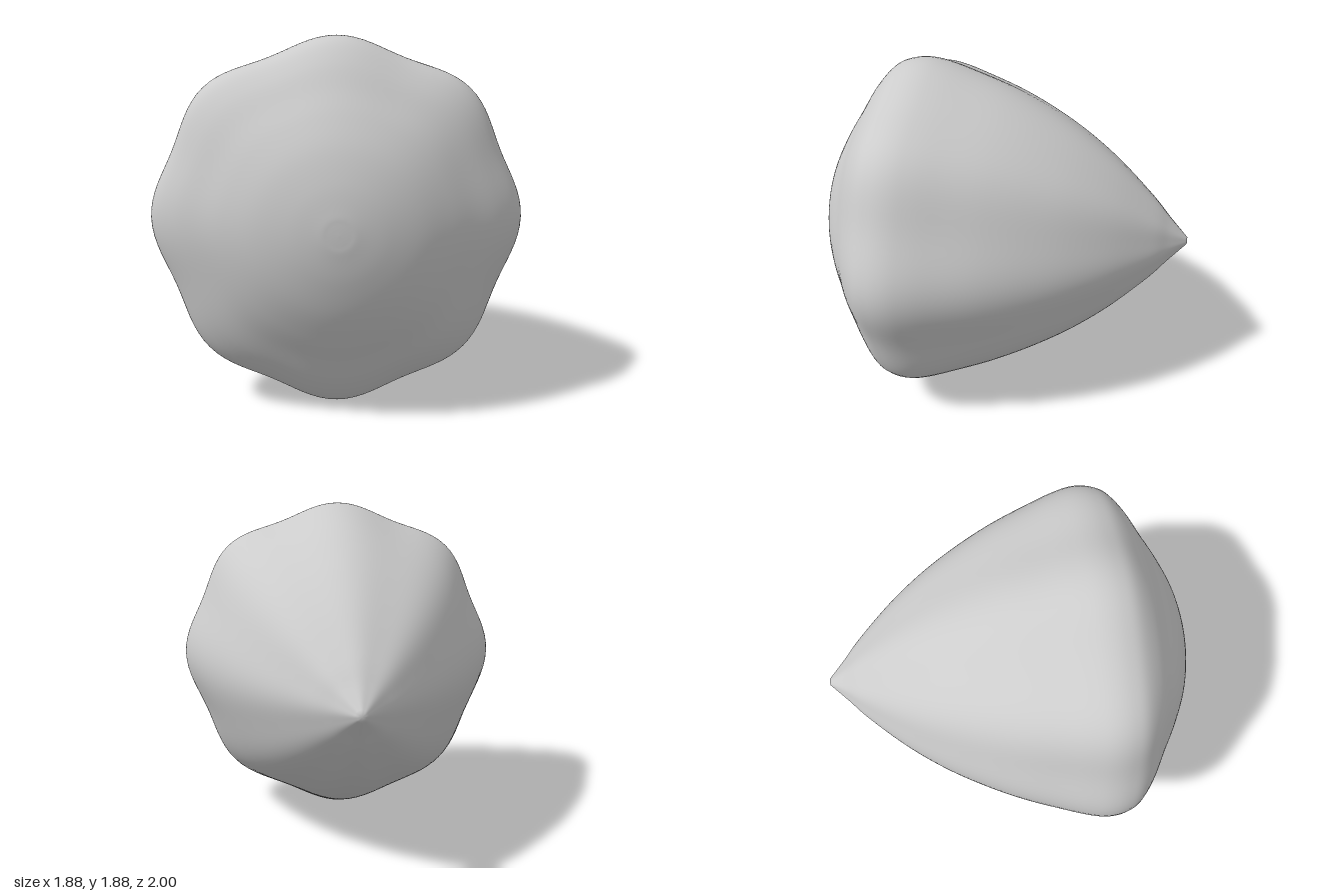
import * as THREE from 'three';
import { mergeVertices } from 'three/addons/utils/BufferGeometryUtils.js';

const CENTRE_Y = 0.94;
const LOBES = 8;

// Ridge profile: radius against z, from the pointed back to the domed front
const PROFILE = [
  [0.02, -1], [0.125, -0.9], [0.235, -0.8], [0.42, -0.6], [0.57, -0.4],
  [0.69, -0.2], [0.79, 0], [0.87, 0.2], [0.92, 0.34], [0.94, 0.44], [0.93, 0.53],
  [0.89, 0.61], [0.79, 0.695], [0.655, 0.775], [0.53, 0.85], [0.385, 0.922],
  [0.23, 0.971], [0.1, 0.9945], [0.05, 0.9986], [0, 1],
];

function lobedBody() {
  const curve = new THREE.SplineCurve(PROFILE.map(([r, z]) => new THREE.Vector2(r, z)));
  const points = [new THREE.Vector2(0, -1), ...curve.getPoints(114)];
  points[points.length - 1].set(0, 1);

  let geometry = new THREE.LatheGeometry(points, 128);
  geometry.rotateX(Math.PI / 2);
  const pos = geometry.attributes.position;
  for (let i = 0; i < pos.count; i++) {
    const x = pos.getX(i), y = pos.getY(i), z = pos.getZ(i);
    // Valleys between the ridges: flat at the back, hollow at the rim, gone on the dome
    const hollow = 0.016 + 0.009 * THREE.MathUtils.smoothstep(z, -0.3, 0.45);
    const depth = hollow * (1 - THREE.MathUtils.smoothstep(z, 0.55, 0.97));
    const scale = 1 + depth * (Math.cos(LOBES * Math.atan2(y, x)) - 1);
    // The front and the side ridges sit slightly above the middle
    const lift = 0.04 * THREE.MathUtils.smoothstep(z, -1, 0.6) * (1 - (y / 0.94) ** 2);
    pos.setXYZ(i, x * scale, y * scale + lift, z);
  }

  // Weld the seam and poles for continuous smooth shading
  geometry.deleteAttribute('normal');
  geometry.deleteAttribute('uv');
  geometry = mergeVertices(geometry, 1e-5);
  geometry.computeVertexNormals();
  return geometry;
}

export function createModel() {
  const model = new THREE.Group();
  model.name = 'lobedCone';
  const body = new THREE.Mesh(lobedBody(), new THREE.MeshStandardMaterial({ color: 0xcccccc }));
  body.name = 'body';
  body.position.y = CENTRE_Y;
  model.add(body);
  return model;
}
